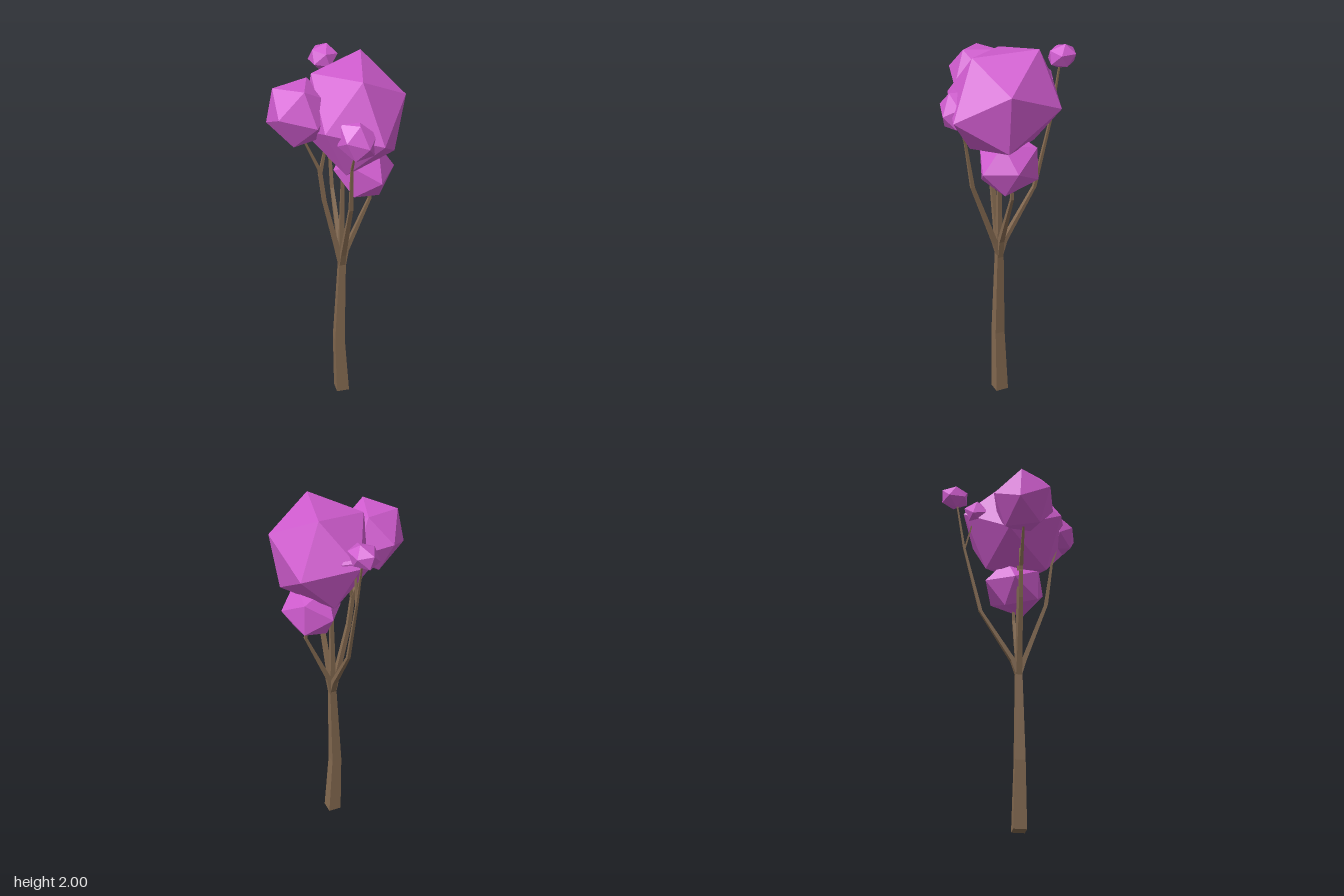
import * as THREE from 'three';
import { ConvexGeometry } from 'three/addons/geometries/ConvexGeometry.js';

const bark = new THREE.MeshStandardMaterial({ color: 0x82684f, flatShading: true });
bark.name = 'bark brown';
const leaf = new THREE.MeshStandardMaterial({ color: 0xd05ccf, flatShading: true });
leaf.name = 'blossom purple';

// Square-section limb lofted through rings of [x, y, z, half width].
function limb(name, rings) {
  const pos = [], index = [];
  for (const [x, y, z, h] of rings) {
    for (const [sx, sz] of [[-1, 1], [1, 1], [1, -1], [-1, -1]]) pos.push(x + sx * h, y, z + sz * h);
  }
  for (let r = 0; r < rings.length - 1; r++) {
    for (let i = 0; i < 4; i++) {
      const a = r * 4 + i, b = r * 4 + (i + 1) % 4;
      index.push(a, b, b + 4, a, b + 4, a + 4);
    }
  }
  const t = (rings.length - 1) * 4;
  index.push(0, 2, 1, 0, 3, 2, t, t + 1, t + 2, t, t + 2, t + 3);
  const geo = new THREE.BufferGeometry();
  geo.setAttribute('position', new THREE.Float32BufferAttribute(pos, 3));
  geo.setIndex(index);
  geo.computeVertexNormals();
  const mesh = new THREE.Mesh(geo, bark);
  mesh.name = name;
  return mesh;
}

// Turned and stretched icosahedron, set by its centre and the three corners
// of one face; the other nine corners follow from symmetry.
function clump(name, centre, ...face) {
  const [a, b, c] = face.map((p) => new THREE.Vector3(...p));
  const k = 2 / (1 + Math.sqrt(5));
  const across = (p, q, r) => p.clone().add(q).multiplyScalar(k).sub(r);
  const half = [a, b, c, across(a, b, c), across(b, c, a), across(c, a, b)];
  const corners = half.flatMap((p) => [p, p.clone().negate()]);
  const mesh = new THREE.Mesh(new ConvexGeometry(corners), leaf);
  mesh.position.set(...centre);
  mesh.name = name;
  return mesh;
}

export function createModel() {
  const tree = new THREE.Group();
  tree.name = 'tree';

  // Trunk and branches
  tree.add(
    limb('trunk', [[0.038, 0, 0.05, 0.035], [0.021, 0.36, 0.051, 0.027], [0.036, 0.84, 0.05, 0.018], [0.036, 0.92, 0.05, 0.014]]),
    limb('centreBranch', [[0.036, 0.84, 0.05, 0.017], [0.035, 1.1, 0.05, 0.012], [0.04, 1.5, 0.05, 0.006]]),
    limb('rightBranch', [[0.034, 0.84, 0.05, 0.016], [0.01, 0.95, 0.05, 0.014], [-0.058, 1.25, 0.048, 0.011], [-0.08, 1.43, 0.046, 0.01], [-0.18, 1.66, 0.046, 0.005]]),
    limb('rightBranchFork', [[-0.08, 1.4, 0.046, 0.009], [-0.05, 1.56, 0.046, 0.006], [-0.02, 1.64, 0.046, 0.004]]),
    limb('leftBranch', [[0.036, 0.82, 0.05, 0.016], [0.056, 0.93, 0.05, 0.014], [0.183, 1.23, 0.048, 0.008], [0.18, 1.35, 0.046, 0.005]]),
    limb('frontBranch', [[0.036, 0.84, 0.05, 0.016], [0.036, 0.92, 0.075, 0.014], [0.042, 1.27, 0.202, 0.01], [0.036, 1.52, 0.236, 0.006], [0.045, 1.67, 0.28, 0.004]]),
    limb('backBranch', [[0.036, 0.84, 0.05, 0.016], [0.036, 0.92, 0.022, 0.014], [0.034, 1.2, -0.155, 0.009], [0.032, 1.58, -0.25, 0.006], [0.025, 1.85, -0.295, 0.004]]),
    limb('backBranchFork', [[0.032, 1.57, -0.248, 0.005], [0.02, 1.74, -0.205, 0.004]]),
  );

  // Foliage
  tree.add(
    clump('mainFoliage', [0.092, 1.737, 0.048], [0.075, 0.263, -0.154], [0, 0.243, 0.17], [0.244, 0.108, 0.076]),
    clump('rightFoliage', [-0.177, 1.77, 0.046], [-0.129, 0.13, -0.032], [0.052, 0.145, -0.08], [0, 0.156, 0.101]),
    clump('lowerFoliage', [0.15, 1.415, 0.047], [0.154, 0.005, 0.022], [0.05, -0.01, 0.168], [0.068, -0.14, 0.055]),
    clump('frontFoliage', [0.048, 1.715, 0.29], [0.005, 0.09, 0.035], [0.04, -0.014, 0.085], [-0.066, 0.015, 0.055]),
    clump('backTopFoliage', [0.024, 1.888, -0.308], [0.022, 0.068, -0.006], [0.056, 0.02, -0.05], [-0.021, 0.03, -0.072]),
    clump('backFoliage', [0.02, 1.785, -0.175], [0.03, 0.078, -0.02], [0.078, 0.02, -0.045], [-0.012, 0.03, -0.08]),
  );
  return tree;
}
